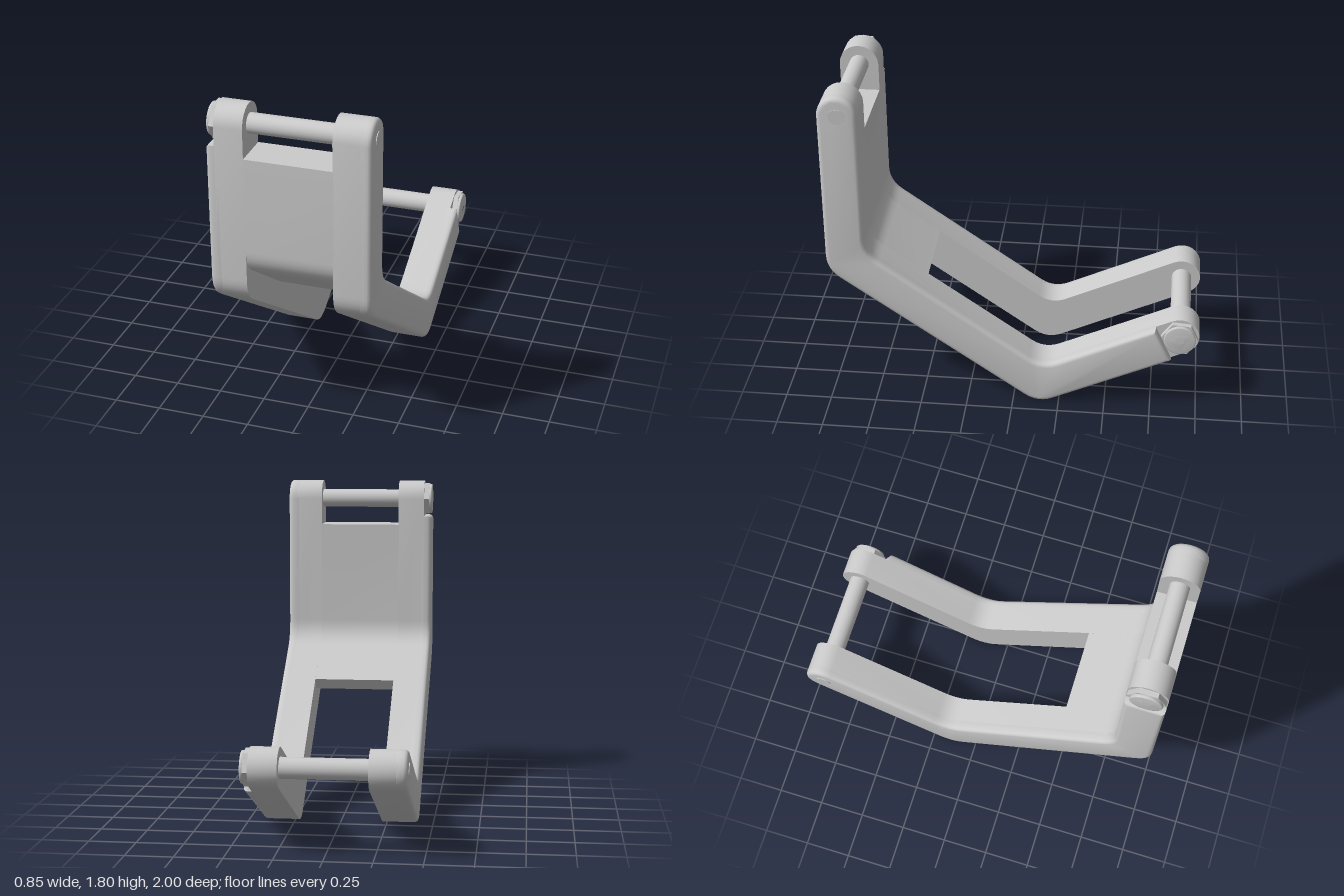
import * as THREE from 'three';
import { toCreasedNormals } from 'three/addons/utils/BufferGeometryUtils.js';

const material = new THREE.MeshStandardMaterial({ color: 0xcccccc });
const V = (z, y) => new THREE.Vector2(z, y);
const HALF = 0.105; // half thickness of the bent bar

// Centre line of the bent bar in (z, y): top pivot, two bends, rear pivot
const TOP = V(0.895, 1.7), BEND1 = V(0.895, 0.84), BEND2 = V(-0.148, 0.108), REAR = V(-0.895, 0.455);

// Extrudes a (z, y) outline from x0 to x1, optionally with rounded edges
function slab(name, points, x0, x1, bevel = 0, hole = null) {
  const flip = (list) => list.map((p) => V(-p.x, p.y));
  const shape = new THREE.Shape(flip(points));
  if (hole) shape.holes.push(new THREE.Path(flip(hole)));
  const geometry = new THREE.ExtrudeGeometry(shape, {
    depth: x1 - x0 - 2 * bevel, bevelEnabled: bevel > 0, bevelSize: bevel,
    bevelThickness: bevel, bevelOffset: -bevel, bevelSegments: 3,
  });
  geometry.translate(0, 0, x0 + bevel).rotateY(Math.PI / 2);
  const mesh = new THREE.Mesh(toCreasedNormals(geometry, 0.6), material);
  mesh.name = name;
  return mesh;
}

// Replaces the corner b between a and c by a smooth curve
function roundCorner(a, b, c, d) {
  const toward = (p) => b.clone().add(p.clone().sub(b).setLength(d));
  return new THREE.QuadraticBezierCurve(toward(a), b, toward(c)).getPoints(6);
}

function ngon(center, radius, sides, start = 0) {
  return Array.from({ length: sides }, (_, i) => {
    const a = start + (i / sides) * Math.PI * 2;
    return V(center.x + radius * Math.cos(a), center.y + radius * Math.sin(a));
  });
}

// Offsets the centre line to one side
function offsetLine(line, side) {
  const normals = line.slice(1).map((p, i) => {
    const d = p.clone().sub(line[i]).normalize();
    return V(-d.y, d.x).multiplyScalar(side);
  });
  return line.map((p, i) => {
    const n0 = normals[Math.max(i - 1, 0)], n1 = normals[Math.min(i, normals.length - 1)];
    const m = n0.clone().add(n1).normalize();
    return p.clone().addScaledVector(m, HALF / m.dot(n0));
  });
}

// Half-round end from point a to the opposite edge
function endCap(center, a) {
  const start = Math.atan2(a.y - center.y, a.x - center.x);
  return Array.from({ length: 11 }, (_, i) => {
    const t = start + ((i + 1) / 12) * Math.PI;
    return V(center.x + HALF * Math.cos(t), center.y + HALF * Math.sin(t));
  });
}

// Side outline of an arm; an end can be cut short to seat a bolt head
function armOutline(cutTop = false, cutRear = false) {
  const top = cutTop ? V(TOP.x, 1.6) : TOP;
  const rear = cutRear ? REAR.clone().add(BEND2.clone().sub(REAR).setLength(0.095)) : REAR;
  const line = [top, BEND1, BEND2, rear];
  const edge = (side) => {
    const p = offsetLine(line, side);
    return [p[0], ...roundCorner(p[0], p[1], p[2], 0.09),
      ...roundCorner(p[1], p[2], p[3], 0.09), p[3]];
  };
  const a = edge(1), b = edge(-1); // a is the front and underside, run counter-clockwise below
  const back = b.slice().reverse();
  return [...back, ...(cutTop ? [] : endCap(TOP, b[0]).map((p) => p)),
    ...a, ...(cutRear ? [] : endCap(REAR, a[a.length - 1]))];
}

// Ensures the caps bulge away from the bar, whichever way the outline runs
function capFix(points) {
  return points.map((p) => {
    if (p.y > TOP.y - 0.2 && p.x > 0.7 && p.distanceTo(TOP) < HALF + 0.001 && p.y < TOP.y - 1e-6) {
      return V(p.x, 2 * TOP.y - p.y);
    }
    const u = REAR.clone().sub(BEND2).normalize();
    const k = p.clone().sub(REAR).dot(u);
    return p.distanceTo(REAR) < HALF + 0.001 && k < -1e-6 ? p.clone().addScaledVector(u, -2 * k) : p;
  });
}

// Pin with a hexagonal head on one side; the head has a square socket
function bolt(name, center, headSide, radius, flatAngle) {
  const group = new THREE.Group();
  group.name = name;
  const span = (part, pts, inner, outer, bevel, hole) => {
    const [x0, x1] = [inner * headSide, outer * headSide].sort((p, q) => p - q);
    group.add(slab(part, pts, x0, x1, bevel, hole));
  };
  span('pinShaft', ngon(center, radius, 24), -0.3, 0.3);
  span('pinEnd', ngon(center, 0.042, 16), -0.424, -0.25);
  span('hexHead', ngon(center, 0.1, 6, flatAngle + Math.PI / 6), 0.365, 0.403);
  span('headCap', ngon(center, 0.085, 24), 0.4, 0.419, 0.004,
    ngon(center, 0.034, 4, flatAngle + Math.PI / 4));
  return group;
}

export function createModel() {
  const model = new THREE.Group();
  model.name = 'bentLink';

  // Side arms: flat inner body plus an outer layer with rounded edges
  for (const side of [1, -1]) {
    const arm = new THREE.Group();
    arm.name = side > 0 ? 'leftArm' : 'rightArm';
    const sorted = (a, b) => [a * side, b * side].sort((p, q) => p - q);
    arm.add(slab('armBody', capFix(armOutline()), ...sorted(0.226, 0.375)));
    arm.add(slab('armOuterLayer', capFix(armOutline(side < 0, side > 0)), ...sorted(0.34, 0.42), 0.022));
    model.add(arm);
  }

  // Middle plate: full thickness upright, thin sloping web ending at the slot
  const web = [V(0.523, 0.615), V(1, 0.953), V(1, 1.55), V(0.79, 1.55), V(0.79, 0.895), V(0.48, 0.676)];
  const plate = [web[0], ...roundCorner(web[0], web[1], web[2], 0.09), web[2], web[3],
    ...roundCorner(web[3], web[4], web[5], 0.09), web[5]];
  model.add(slab('middlePlate', plate, -0.23, 0.23));

  // Cross bolts, heads on opposite sides
  const rearAngle = Math.atan2(BEND2.y - REAR.y, BEND2.x - REAR.x);
  model.add(bolt('topBolt', TOP, -1, 0.052, Math.PI / 2));
  model.add(bolt('rearBolt', REAR, 1, 0.055, rearAngle));
  return model;
}
